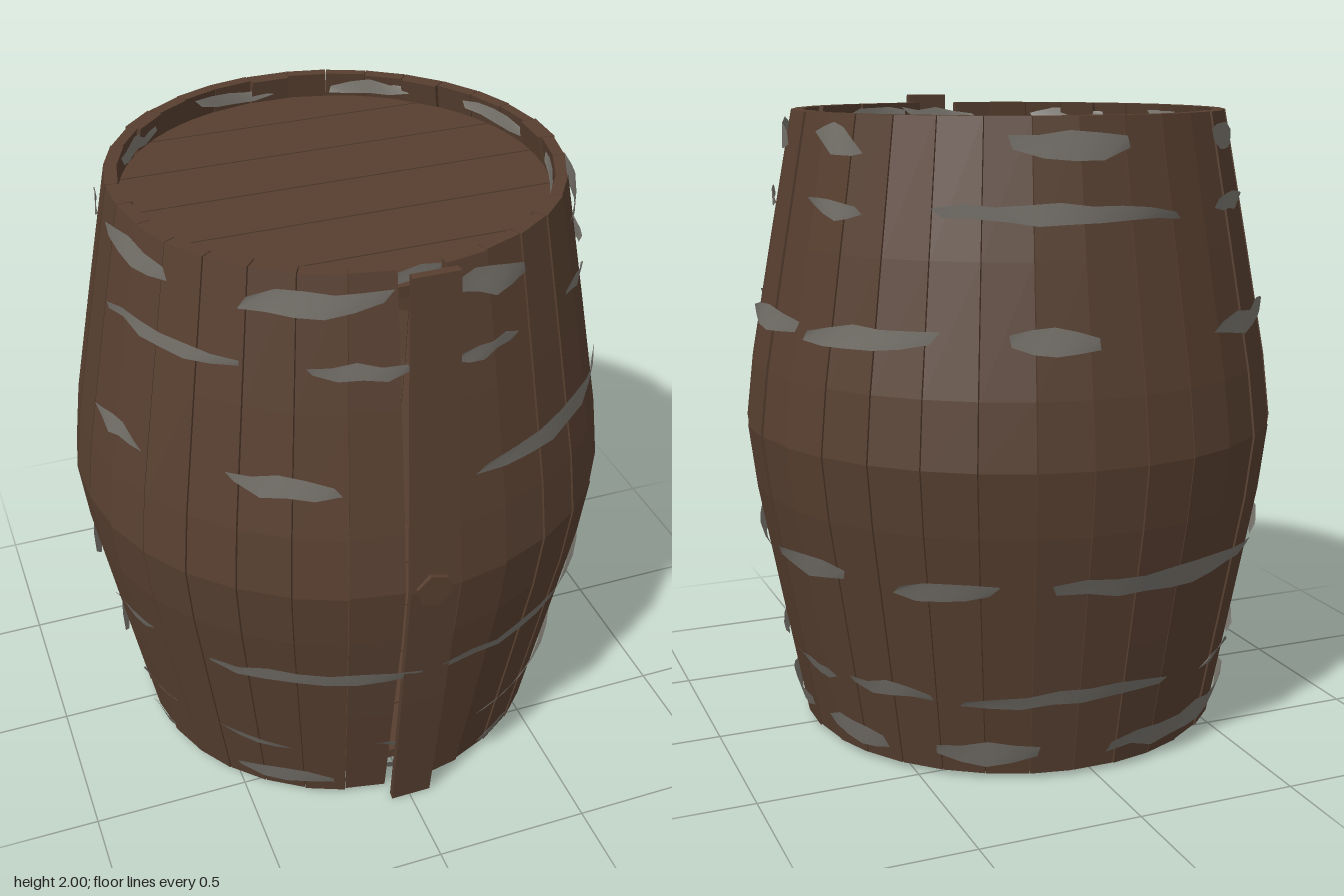
import * as THREE from 'three';

const STAVES = 32;
const STEP = (Math.PI * 2) / STAVES;
const PROFILE = [[0.02, 0.683], [0.42, 0.758], [0.8, 0.828], [1, 0.852], [1.2, 0.828], [1.58, 0.758], [1.975, 0.683]];

function seeded(seed) {
  return () => {
    seed = (seed * 16807) % 2147483647;
    return seed / 2147483647;
  };
}

function radiusAt(y) {
  for (let i = 1; i < PROFILE.length; i++) {
    const [y0, r0] = PROFILE[i - 1], [y1, r1] = PROFILE[i];
    if (y <= y1) return r0 + ((r1 - r0) * (y - y0)) / (y1 - y0);
  }
  return PROFILE[PROFILE.length - 1][1];
}

const polar = (a, r, y) => [Math.sin(a) * r, y, Math.cos(a) * r];

// Bent plank: four-cornered cross-sections stacked up the profile
function staveGeometry(profile, angle, halfAngle, thickness, offset) {
  const pos = [], idx = [];
  for (const [y, r0] of profile) {
    const r = r0 + offset;
    pos.push(...polar(angle - halfAngle, r, y), ...polar(angle + halfAngle, r, y));
    pos.push(...polar(angle + halfAngle, r - thickness, y), ...polar(angle - halfAngle, r - thickness, y));
  }
  const n = profile.length;
  for (let j = 0; j < n - 1; j++) {
    for (let k = 0; k < 4; k++) {
      const a = j * 4 + k, b = j * 4 + ((k + 1) % 4);
      idx.push(a, b, b + 4, a, b + 4, a + 4);
    }
  }
  const t = (n - 1) * 4;
  idx.push(t, t + 1, t + 2, t, t + 2, t + 3, 0, 2, 1, 0, 3, 2);
  const g = new THREE.BufferGeometry();
  g.setAttribute('position', new THREE.Float32BufferAttribute(pos, 3));
  g.setIndex(idx);
  const flat = g.toNonIndexed();
  flat.computeVertexNormals();
  return flat;
}

// Ragged strip of hoop between two angles (degrees)
function hoopGeometry(from, to, y, height, offset, rand) {
  const n = Math.max(4, Math.round((to - from) / 7));
  const pos = [], idx = [];
  const skew = (rand() - 0.5) * 0.09;
  for (let i = 0; i <= n; i++) {
    const t = i / n;
    const taper = 0.45 + 0.55 * Math.sin(Math.PI * t);
    const h = height * taper * (0.85 + 0.3 * rand());
    const mid = y + (rand() - 0.5) * 0.02 + (t - 0.5) * skew * 0.4;
    for (const s of [-1, 1]) {
      const a = THREE.MathUtils.degToRad(from + (to - from) * t) + s * skew * 0.5;
      const yy = mid + (s * h) / 2;
      pos.push(...polar(a, radiusAt(yy) + offset + 0.006 * s, yy));
    }
    if (i < n) {
      const k = i * 2;
      idx.push(k, k + 2, k + 3, k, k + 3, k + 1);
    }
  }
  const g = new THREE.BufferGeometry();
  g.setAttribute('position', new THREE.Float32BufferAttribute(pos, 3));
  g.setIndex(idx);
  g.computeVertexNormals();
  return g;
}

// One board of a round lid, cut from the disc between z0 and z1
function lidBoardGeometry(z0, z1, radius, thickness) {
  const right = [];
  for (let i = 0; i <= 6; i++) {
    const z = z0 + ((z1 - z0) * i) / 6;
    right.push(new THREE.Vector2(Math.sqrt(Math.max(radius * radius - z * z, 0.0001)), -z));
  }
  const left = right.map((p) => new THREE.Vector2(-p.x, p.y)).reverse();
  const g = new THREE.ExtrudeGeometry(new THREE.Shape([...right, ...left]), { depth: thickness, bevelEnabled: false });
  return g.rotateX(-Math.PI / 2);
}

export function createModel() {
  const root = new THREE.Group();
  root.name = 'barrel';
  const wood = new THREE.MeshStandardMaterial({ color: 0x573f30 });
  wood.name = 'wood';
  const metal = new THREE.MeshStandardMaterial({ color: 0x7a766f, side: THREE.DoubleSide });
  metal.name = 'hoop metal';
  const rand = seeded(4211);
  const group = (name) => {
    const g = new THREE.Group();
    g.name = name;
    root.add(g);
    return g;
  };
  const add = (parent, name, geometry, material) => {
    const m = new THREE.Mesh(geometry, material);
    m.name = name;
    parent.add(m);
    return m;
  };

  // Staves around the body, leaving the front slot for the loose one
  const staves = group('staves');
  for (let i = 1; i < STAVES; i++) {
    const thickness = i % 4 === 0 ? 0.052 : 0.032 + rand() * 0.012;
    const half = STEP * (0.492 - rand() * 0.008);
    add(staves, 'stave', staveGeometry(PROFILE, i * STEP, half, thickness, (rand() - 0.5) * 0.008), wood);
  }

  // Loose front stave, sprung outward at both ends
  const loose = [[0.005, 0.735], [0.5, 0.8], [1, 0.856], [1.5, 0.815], [2, 0.775]];
  add(root, 'looseFrontStave', staveGeometry(loose, 0.006, STEP * 0.46, 0.026, 0), wood);

  // Bung plug
  const bung = add(root, 'bung', new THREE.CylinderGeometry(0.058, 0.058, 0.05, 6).toNonIndexed(), wood);
  bung.geometry.computeVertexNormals();
  bung.rotation.set(Math.PI / 2, 0.25, 0);
  bung.position.set(0, 1, 0.837);

  // Lids made of boards
  const cuts = [-0.643, -0.46, -0.235, -0.01, 0.215, 0.445, 0.643];
  for (const [name, y] of [['topLid', 1.865], ['bottomLid', 0.1]]) {
    const lid = group(name);
    lid.position.y = y;
    for (let i = 0; i < cuts.length - 1; i++) {
      add(lid, 'lidBoard', lidBoardGeometry(cuts[i] + 0.003, cuts[i + 1] - 0.003, 0.645, 0.035), wood);
    }
  }

  // Worn hoops: the surviving arcs of each, in degrees from the front
  const hoops = [
    { y: 1.9, h: 0.085, arcs: [[8, 27], [54, 88], [107, 121], [158, 186], [216, 230], [254, 265], [275, 300], [320, 352]] },
    { y: 1.71, h: 0.055, arcs: [[7, 22], [43, 60], [69, 84], [107, 123], [142, 198], [213, 229], [280, 320], [335, 356]] },
    { y: 1.36, h: 0.075, arcs: [[11, 63], [79, 108], [111, 143], [158, 176], [207, 241], [280, 296], [319, 341]] },
    { y: 0.64, h: 0.07, arcs: [[5, 88], [97, 121], [134, 155], [167, 228], [236, 266], [280, 296], [312, 359]] },
    { y: 0.28, h: 0.05, arcs: [[20, 83], [96, 111], [118, 140], [147, 197], [213, 227], [238, 266], [280, 296], [309, 329], [351, 359]] },
    { y: 0.1, h: 0.085, arcs: [[24, 36], [64, 97], [107, 126], [140, 165], [183, 248], [280, 290], [314, 340]] },
  ];
  hoops.forEach(({ y, h, arcs }) => {
    const hoop = group('hoop');
    for (const [a, b] of arcs) add(hoop, 'hoopFragment', hoopGeometry(a, b, y, h, 0.014, rand), metal);
  });

  // Hoop scraps showing inside the two rims
  const inner = group('innerHoops');
  for (const y of [1.935, 0.06]) {
    for (let a = 12; a < 350; a += 42) {
      add(inner, 'innerHoopFragment', hoopGeometry(a, a + 24, y, 0.045, -0.052, rand), metal);
    }
  }
  return root;
}
